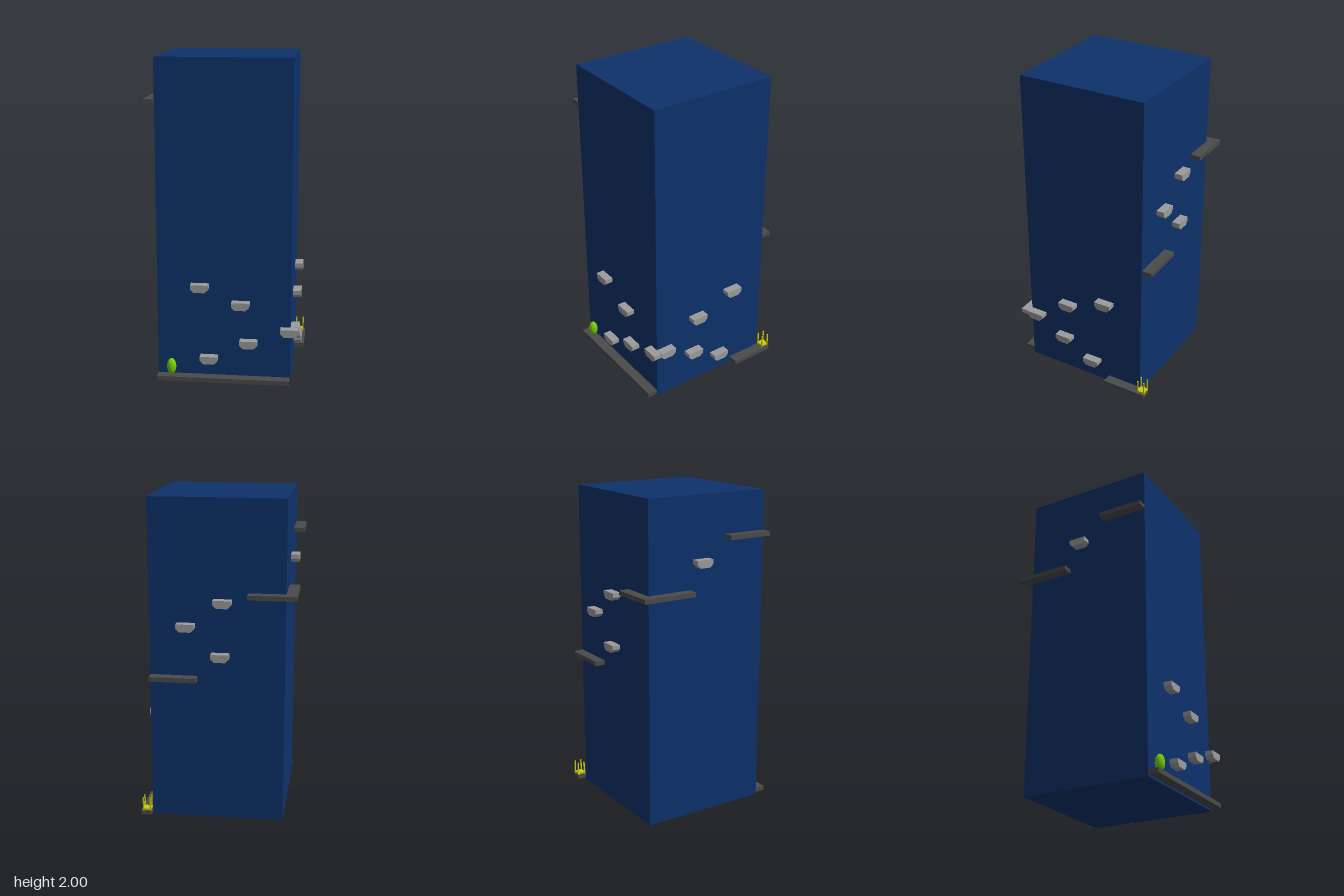
import * as THREE from 'three';

const mat = (color) => new THREE.MeshStandardMaterial({ color });

export function createModel() {
  const model = new THREE.Group();
  const blue = mat(0x0d326b), dark = mat(0x4b4b4b), grey = mat(0x9c9c9c);
  const green = mat(0x77cc08), yellow = mat(0xcccc10);

  const add = (name, geometry, material, parent = model) => {
    const mesh = new THREE.Mesh(geometry, material);
    mesh.name = name;
    parent.add(mesh);
    return mesh;
  };
  // Box given by its lower and upper corners
  const box = (name, a, b, material, parent) => {
    const size = b.map((v, i) => v - a[i]);
    const mesh = add(name, new THREE.BoxGeometry(...size), material, parent);
    mesh.position.set(...a.map((v, i) => (v + b[i]) / 2));
    return mesh;
  };

  // Square tower
  const W = 0.411;
  box('tower', [-W, 0, -W], [W, 2, W], blue);

  // Narrow ledges around the faces: [x0, x1, z0, z1, centre y]
  const out = 0.476;
  const ledges = [
    ['frontLedge', -W, 0.408, W, out, 0.027],
    ['rightLowLedge', W, 0.475, -0.47, -0.18, 0.027],
    ['backRightLedge', 0.12, 0.408, -out, -W, 0.91],
    ['backCornerLedge', -out, -0.188, -out, -W, 1.43],
    ['leftCornerLedge', -out, -W, -W, -0.125, 1.43],
    ['leftHighLedge', -out, -W, 0.122, 0.412, 1.74],
  ];
  for (const [name, x0, x1, z0, z1, y] of ledges) {
    box(name, [x0, y - 0.014, z0], [x1, y + 0.014, z1], dark);
  }

  // Stepping stones: prisms with chamfered lower edges, pointing outward
  const profile = new THREE.Shape([
    [-0.055, 0.024], [-0.055, -0.003], [-0.034, -0.024],
    [0.034, -0.024], [0.055, -0.003], [0.055, 0.024],
  ].map(([x, y]) => new THREE.Vector2(x, y)));
  const stoneGeometry = new THREE.ExtrudeGeometry(profile, { depth: 0.052, bevelEnabled: false });
  // Each face: turn about y, then [position along the face, height]
  const faces = [
    ['frontStone', 0, [[-0.145, 0.61], [0.105, 0.505], [0.155, 0.26], [-0.09, 0.15], [0.405, 0.345]]],
    ['rightStone', Math.PI / 2, [[0.16, 0.6], [-0.11, 0.5], [-0.14, 0.24], [0.068, 0.13], [-0.355, 0.345]]],
    ['backStone', Math.PI, [[0.035, 1.38], [-0.186, 1.23], [0.022, 1.05]]],
    ['leftStone', -Math.PI / 2, [[-0.05, 1.6]]],
  ];
  for (const [name, turn, spots] of faces) {
    const side = new THREE.Group();
    side.name = name + 's';
    side.rotation.y = turn;
    model.add(side);
    for (const [u, y] of spots) add(name, stoneGeometry, grey, side).position.set(u, y, W);
  }

  // Egg-shaped ball on the front ledge
  const ball = add('ball', new THREE.SphereGeometry(1, 32, 20), green);
  ball.scale.set(0.029, 0.051, 0.029);
  ball.position.set(-0.324, 0.097, 0.44);

  // Small upturned stand on the right ledge: a plate with four posts
  const stand = new THREE.Group();
  stand.name = 'stand';
  stand.position.set(0.438, 0, -0.445);
  model.add(stand);
  box('standPlate', [-0.026, 0.046, -0.026], [0.026, 0.056, 0.026], yellow, stand);
  for (const sx of [-1, 1]) for (const sz of [-1, 1]) {
    const post = box('standPost', [-0.004, 0.041, -0.004], [0.004, 0.128, 0.004], yellow, stand);
    post.position.x = sx * 0.022;
    post.position.z = sz * 0.022;
  }
  return model;
}
